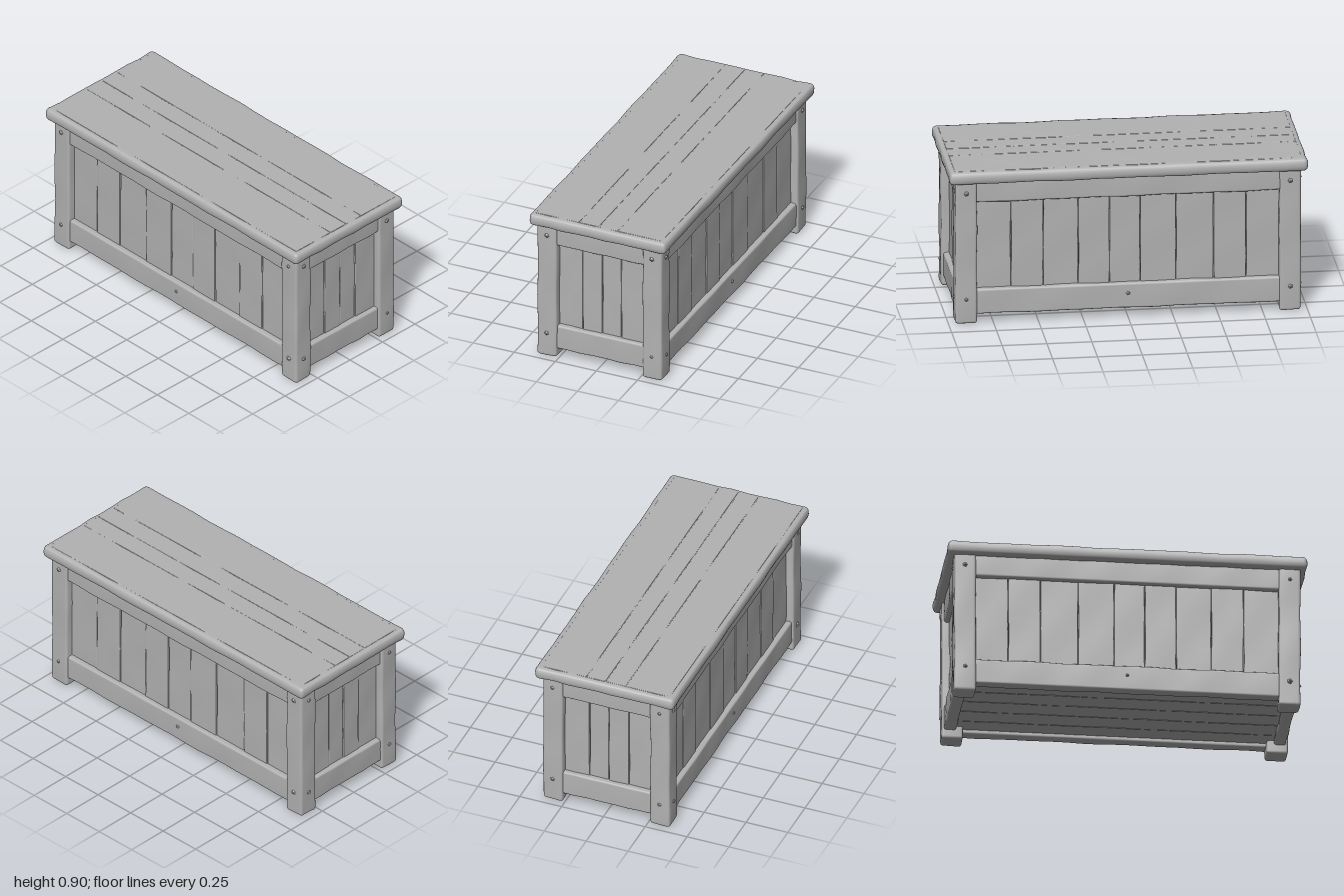
import * as THREE from 'three';
import { mergeVertices } from 'three/addons/utils/BufferGeometryUtils.js';

const wood = new THREE.MeshStandardMaterial({ color: 0xb2b2b2 });
wood.name = 'weathered grey wood';

// Position of grid line k of n along an axis: rounded at both ends, even between
function gridLine(k, n, half, r) {
  if (k === 0) return -half;
  if (k === 1) return -half + 0.42 * r;
  if (k === n) return half;
  if (k === n - 1) return half - 0.42 * r;
  return -(half - r) + (2 * (half - r) * (k - 2)) / (n - 4);
}

// Worn board spanning min..max, with rounded edges and a gentle hewn surface
function board(name, min, max, r = 0.015, wear = 0.003) {
  const size = max.map((v, i) => v - min[i]);
  const half = size.map(v => v / 2);
  const mid = max.map((v, i) => (v + min[i]) / 2);
  const n = size.map(v => 5 + Math.min(16, Math.round(v / 0.1)));
  let geo = new THREE.BoxGeometry(...size, ...n);
  geo.deleteAttribute('normal');
  geo.deleteAttribute('uv');
  geo = mergeVertices(geo);
  const pos = geo.attributes.position;
  const p = new THREE.Vector3(), core = new THREE.Vector3();
  for (let i = 0; i < pos.count; i++) {
    p.fromBufferAttribute(pos, i);
    const a = p.toArray().map((v, j) =>
      gridLine(Math.round((v / size[j] + 0.5) * n[j]), n[j], half[j], r));
    const c = a.map((v, j) => THREE.MathUtils.clamp(v, r - half[j], half[j] - r));
    core.fromArray(c);
    p.fromArray(a).sub(core).normalize();
    const [x, y, z] = c.map((v, j) => v + mid[j]);
    const dent = wear * 0.5 * (Math.sin(x * 23 + y * 17 + z * 11) + Math.sin(x * 31 - y * 13 + z * 19) - 1);
    p.multiplyScalar(r + dent).add(core);
    pos.setXYZ(i, p.x + mid[0], p.y + mid[1], p.z + mid[2]);
  }
  geo.computeVertexNormals();
  const mesh = new THREE.Mesh(geo, wood);
  mesh.name = name;
  return mesh;
}

// Small faceted peg pointing out along +x, -x, +z or -z
function peg(x, y, z, dir) {
  const geo = new THREE.ConeGeometry(0.022, 0.018, 5).toNonIndexed();
  geo.computeVertexNormals();
  const mesh = new THREE.Mesh(geo, wood);
  mesh.name = 'peg';
  mesh.position.set(x, y, z);
  mesh.quaternion.setFromUnitVectors(new THREE.Vector3(0, 1, 0), dir);
  return mesh;
}

export function createModel() {
  const chest = new THREE.Group();
  chest.name = 'woodenChest';

  // Lid: rounded slab topped by four long planks with fine seams
  const lid = new THREE.Group();
  lid.name = 'lid';
  lid.add(board('lidSlab', [-0.416, 0.824, -1], [0.416, 0.899, 1], 0.027));
  const seams = [-0.385, -0.12, 0, 0.115, 0.385];
  for (let i = 0; i < 4; i++) {
    lid.add(board('lidPlank', [seams[i] + 0.001, 0.87, -0.968],
      [seams[i + 1] - 0.001, 0.9, 0.968], 0.004, 0.001));
  }
  chest.add(lid);

  // Corner posts with pegs on both outer faces
  for (const sx of [-1, 1]) {
    for (const sz of [-1, 1]) {
      const x = sx * 0.32, z = sz * 0.903;
      chest.add(board('cornerPost', [x - 0.061, 0, z - 0.062], [x + 0.061, 0.84, z + 0.062], 0.018));
      for (const y of [0.145, 0.765]) {
        chest.add(peg(sx * 0.382, y, z, new THREE.Vector3(sx, 0, 0)));
        chest.add(peg(x, y, sz * 0.965, new THREE.Vector3(0, 0, sz)));
      }
    }
  }

  // Rails along the bottom and top of all four walls
  for (const [label, y0, y1] of [['bottomRail', 0.051, 0.2], ['topRail', 0.705, 0.84]]) {
    for (const s of [-1, 1]) {
      const x = s * 0.335, z = s * 0.917;
      chest.add(board(label, [x - 0.035, y0, -0.88], [x + 0.035, y1, 0.88], 0.014));
      chest.add(board(label, [-0.3, y0, z - 0.035], [0.3, y1, z + 0.035], 0.014));
    }
  }

  // Recessed vertical planks of the end and side walls
  const endSeams = [-0.28, -0.12, 0, 0.115, 0.28];
  const sideSeams = [-0.86, -0.66, -0.48, -0.27, -0.07, 0.1, 0.275, 0.47, 0.65, 0.86];
  for (const s of [-1, 1]) {
    for (let i = 0; i < endSeams.length - 1; i++) {
      const z = s * (0.905 + (i % 2) * 0.004);
      chest.add(board('endPlank', [endSeams[i], 0.18, z - 0.014], [endSeams[i + 1], 0.73, z + 0.014], 0.006, 0.002));
    }
    for (let i = 0; i < sideSeams.length - 1; i++) {
      const x = s * (0.323 + (i % 2) * 0.004);
      chest.add(board('sidePlank', [x - 0.014, 0.18, sideSeams[i]], [x + 0.014, 0.73, sideSeams[i + 1]], 0.006, 0.002));
    }
    // Peg in the middle of each long bottom rail
    chest.add(peg(s * 0.368, 0.14, 0, new THREE.Vector3(s, 0, 0)));
  }

  // Floor planks running lengthwise
  for (let i = 0; i < 5; i++) {
    const x = -0.32 + i * 0.128;
    chest.add(board('floorPlank', [x, 0.075, -0.9], [x + 0.128, 0.105, 0.9], 0.006, 0.002));
  }
  return chest;
}
